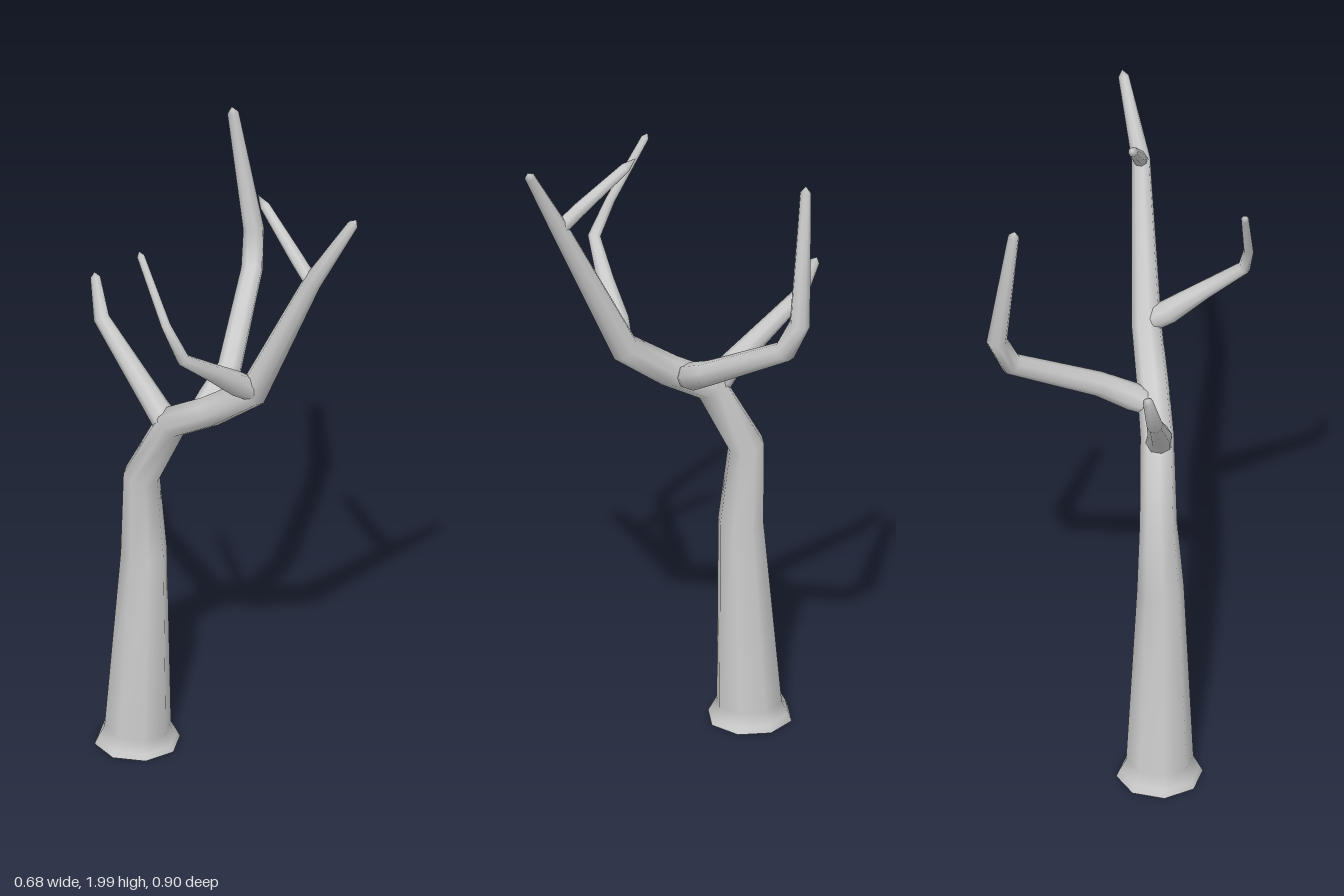
import * as THREE from 'three';

const SIDES = 8;
const bark = new THREE.MeshStandardMaterial({ color: 0xcccccc });

// Sweeps an octagonal ring along knots [x, y, z, radius]; mitred at the bends.
function limb(name, knots, tipLength = 0.02) {
  const pts = knots.map(([x, y, z]) => new THREE.Vector3(x, y, z));
  const last = pts.length - 1;
  const dirs = pts.slice(1).map((p, i) => p.clone().sub(pts[i]).normalize());
  const positions = [], index = [];
  const u = new THREE.Vector3(1, 0, 0), v = new THREE.Vector3();

  pts.forEach((p, i) => {
    const before = dirs[Math.max(i - 1, 0)], after = dirs[Math.min(i, last - 1)];
    const t = before.clone().add(after).normalize();
    // carry the ring's axis along without twisting
    u.addScaledVector(t, -u.dot(t)).normalize();
    v.crossVectors(t, u);
    for (let k = 0; k < SIDES; k++) {
      const a = (k + 0.5) / SIDES * Math.PI * 2, r = knots[i][3];
      const q = p.clone().addScaledVector(u, Math.cos(a) * r).addScaledVector(v, Math.sin(a) * r);
      positions.push(q.x, q.y, q.z);
    }
  });

  for (let i = 0; i < last; i++) {
    for (let k = 0; k < SIDES; k++) {
      const a = i * SIDES + k, b = i * SIDES + (k + 1) % SIDES;
      index.push(a, b, b + SIDES, a, b + SIDES, a + SIDES);
    }
  }

  // blunt point at the tip
  const tip = pts[last].clone().addScaledVector(dirs[last - 1], tipLength);
  const apex = positions.length / 3;
  positions.push(tip.x, tip.y, tip.z);
  for (let k = 0; k < SIDES; k++) {
    index.push(last * SIDES + k, last * SIDES + (k + 1) % SIDES, apex);
  }

  const geometry = new THREE.BufferGeometry();
  geometry.setAttribute('position', new THREE.Float32BufferAttribute(positions, 3));
  geometry.setIndex(index);
  geometry.computeVertexNormals();
  const mesh = new THREE.Mesh(geometry, bark);
  mesh.name = name;
  return mesh;
}

export function createModel() {
  const tree = new THREE.Group();
  tree.name = 'bareTree';

  // Trunk with flared foot, running on into the forward leader
  tree.add(limb('trunkAndLeader', [
    [-0.155, 0, -0.247, 0.127],
    [-0.155, 0.02, -0.247, 0.118],
    [-0.155, 0.055, -0.245, 0.099],
    [-0.15, 0.65, -0.22, 0.069],
    [-0.148, 0.9, -0.235, 0.055],
    [-0.113, 1.12, -0.125, 0.05],
    [-0.065, 1.2, 0, 0.048],
    [-0.005, 1.315, 0.14, 0.045],
    [0.07, 1.76, 0.34, 0.028],
    [0.15, 1.975, 0.435, 0.016],
  ]));

  // Underside of the foot
  const underside = new THREE.Mesh(new THREE.CircleGeometry(0.127, SIDES, Math.PI / SIDES), bark);
  underside.name = 'footUnderside';
  underside.rotation.x = Math.PI / 2;
  underside.position.set(-0.155, 0, -0.247);
  tree.add(underside);

  // Long branch sweeping out to the left and back, then straight up
  tree.add(limb('leftBranch', [
    [-0.085, 1.165, -0.045, 0.03],
    [-0.02, 1.2, -0.06, 0.042],
    [0.07, 1.255, -0.1, 0.037],
    [0.28, 1.425, -0.3, 0.033],
    [0.312, 1.53, -0.34, 0.031],
    [0.255, 1.93, -0.363, 0.017],
  ]));

  // Short branch reaching backwards
  tree.add(limb('backBranch', [
    [-0.115, 1.09, -0.125, 0.042],
    [-0.14, 1.17, -0.19, 0.036],
    [-0.183, 1.36, -0.395, 0.024],
    [-0.175, 1.475, -0.44, 0.015],
  ], 0.015));

  // Branch to the right, hooking upwards
  tree.add(limb('rightBranch', [
    [0.0, 1.32, 0.145, 0.034],
    [-0.07, 1.37, 0.152, 0.037],
    [-0.17, 1.45, 0.175, 0.027],
    [-0.285, 1.54, 0.195, 0.02],
    [-0.313, 1.64, 0.145, 0.015],
    [-0.332, 1.83, 0.04, 0.012],
  ], 0.015));

  // Small twig near the top of the leader, pointing backwards
  tree.add(limb('topTwig', [
    [0.072, 1.75, 0.345, 0.022],
    [0.058, 1.81, 0.28, 0.021],
    [0.036, 1.93, 0.14, 0.015],
  ], 0.04));

  return tree;
}
